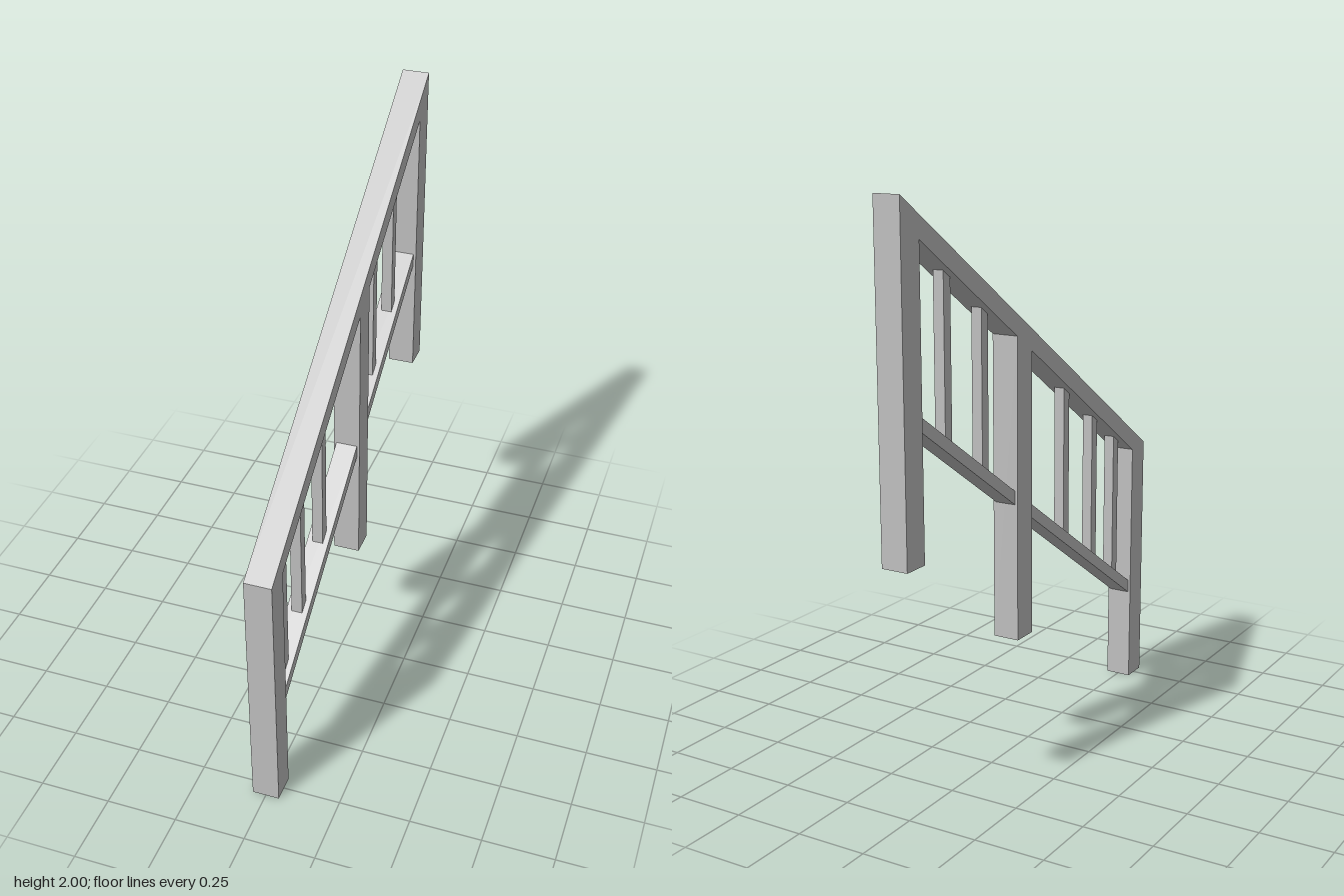
import * as THREE from 'three';

const SLOPE = 0.6625;
const topY = (s) => 1.47 + SLOPE * s;         // upper edge of the handrail
const underY = (s) => topY(s) - 0.075;        // underside of the handrail
const lowTopY = (s) => 0.865 + SLOPE * s;     // upper edge of the lower rail
const lowUnderY = (s) => lowTopY(s) - 0.048;

// Extrudes a side profile (s runs uphill, towards -z) to a width centred on x = 0
function slab(name, points, width, material) {
  const shape = new THREE.Shape(points.map(([s, y]) => new THREE.Vector2(s, y)));
  const geometry = new THREE.ExtrudeGeometry(shape, { depth: width, bevelEnabled: false });
  geometry.translate(0, 0, -width / 2).rotateY(Math.PI / 2);
  const mesh = new THREE.Mesh(geometry, material);
  mesh.name = name;
  return mesh;
}

export function createModel() {
  const group = new THREE.Group();
  group.name = 'stairRailing';
  const grey = new THREE.MeshStandardMaterial({ color: 0xc0c0c0 });
  grey.name = 'grey';

  // Posts: [downhill side, uphill side, foot height]
  const posts = [[-0.8, -0.705, 0], [0.055, 0.15, 0.43], [0.705, 0.8, 0.86]];

  // Handrail and posts share one continuous outline
  const outline = [[0.8, topY(0.8)], [-0.8, topY(-0.8)]];
  posts.forEach(([a, b, foot], i) => {
    if (i > 0) outline.push([a, underY(a)]);
    outline.push([a, foot], [b, foot]);
    if (i < 2) outline.push([b, underY(b)]);
  });
  group.add(slab('postsAndHandrail', outline, 0.095, grey));

  // Lower rail, one length between each pair of posts
  for (let i = 0; i < 2; i++) {
    const a = posts[i][1], b = posts[i + 1][0];
    group.add(slab('lowerRail', [
      [a, lowUnderY(a)], [b, lowUnderY(b)], [b, lowTopY(b)], [a, lowTopY(a)],
    ], 0.076, grey));
  }

  // Balusters, cut to the slope at both ends
  for (const s of [-0.62, -0.448, -0.236, 0.305, 0.52]) {
    const a = s - 0.019, b = s + 0.019;
    group.add(slab('baluster', [
      [a, lowTopY(a)], [b, lowTopY(b)], [b, underY(b)], [a, underY(a)],
    ], 0.038, grey));
  }
  return group;
}
